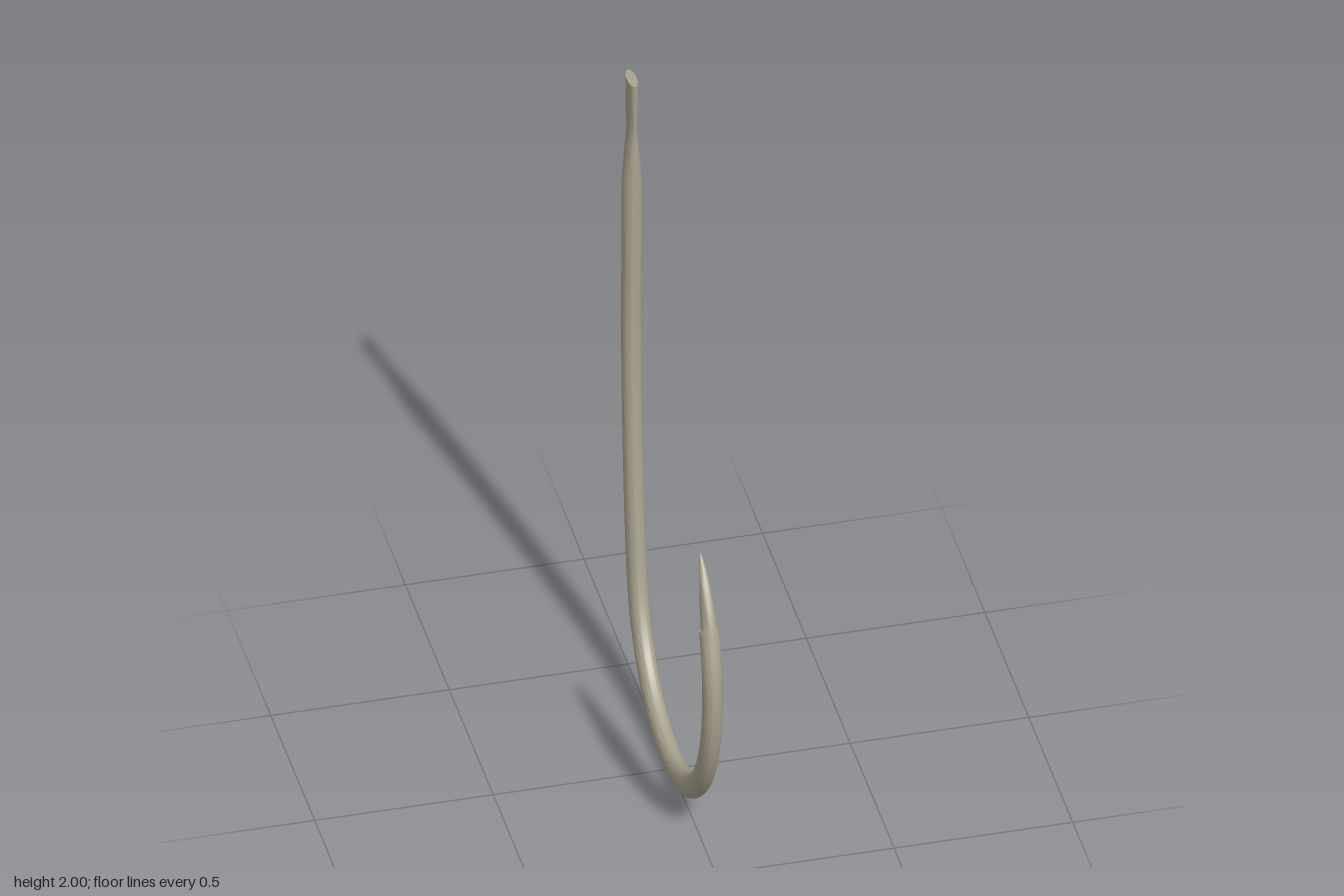
import * as THREE from 'three';
import { toCreasedNormals } from 'three/addons/utils/BufferGeometryUtils.js';

const SIDES = 28;
const STEPS = 6; // rings between neighbouring path points

// Wire path from the flattened end to the barb: [z, y, half depth, half width]
const PATH = [
  [-0.457, 2.0, 0.042, 0.014], [-0.457, 1.91, 0.042, 0.014], [-0.455, 1.83, 0.034, 0.014],
  [-0.453, 1.66, 0.033, 0.028], [-0.456, 1.4, 0.033, 0.028], [-0.46, 1.2, 0.032, 0.028],
  [-0.455, 1.0, 0.032, 0.028], [-0.44, 0.76, 0.033, 0.028], [-0.42, 0.55, 0.035, 0.028],
  [-0.397, 0.39, 0.037, 0.028], [-0.362, 0.27, 0.038, 0.028], [-0.3, 0.17, 0.038, 0.028],
  [-0.22, 0.1, 0.038, 0.028], [-0.12, 0.055, 0.038, 0.028], [0, 0.039, 0.038, 0.028],
  [0.12, 0.057, 0.038, 0.028], [0.233, 0.111, 0.037, 0.028], [0.329, 0.195, 0.035, 0.028],
  [0.403, 0.305, 0.034, 0.028], [0.449, 0.433, 0.033, 0.028], [0.466, 0.57, 0.033, 0.028],
  [0.457, 0.67, 0.032, 0.028], [0.43, 0.767, 0.032, 0.028],
];

// Barbed point: [outer z, outer y, inner z, inner y, half width, inner pinch]
const POINT = [
  [0.453, 0.8, 0.375, 0.737, 0.027, 0.5],
  [0.427, 0.848, 0.359, 0.81, 0.024, 0.5],
  [0.393, 0.895, 0.345, 0.875, 0.018, 0.5],
  [0.36, 0.932, 0.335, 0.922, 0.011, 0.5],
  [0.328, 0.957, 0.328, 0.956, 0.001, 0],
];

// Sections of the round wire, in the same form as POINT
function wireSections() {
  const curve = new THREE.CatmullRomCurve3(PATH.map(([z, y]) => new THREE.Vector3(0, y, z)));
  const spans = PATH.length - 1;
  const sections = [];
  for (let i = 0; i <= spans * STEPS; i++) {
    const t = i / (spans * STEPS);
    const k = Math.min(Math.floor(i / STEPS), spans - 1);
    const f = i / STEPS - k;
    const depth = THREE.MathUtils.lerp(PATH[k][2], PATH[k + 1][2], f);
    const width = THREE.MathUtils.lerp(PATH[k][3], PATH[k + 1][3], f);
    const c = curve.getPoint(t);
    const d = curve.getTangent(t);
    const nz = d.y * depth, ny = -d.z * depth;
    sections.push([c.z + nz, c.y + ny, c.z - nz, c.y - ny, width, 0]);
  }
  return sections;
}

// Skin a list of sections and close both ends
function skin(sections) {
  const pos = [], index = [];
  for (const [oz, oy, iz, iy, width, pinch] of sections) {
    for (let j = 0; j < SIDES; j++) {
      const a = (j / SIDES) * Math.PI * 2;
      const s = (1 - Math.cos(a)) / 2; // 0 outer edge, 1 inner edge
      pos.push(Math.sin(a) * width * (1 - pinch * s), oy + (iy - oy) * s, oz + (iz - oz) * s);
    }
  }
  const last = sections.length - 1;
  for (let i = 0; i < last; i++) {
    for (let j = 0; j < SIDES; j++) {
      const a = i * SIDES + j, b = i * SIDES + (j + 1) % SIDES;
      index.push(a, b, a + SIDES, b, b + SIDES, a + SIDES);
    }
  }
  for (let j = 1; j < SIDES - 1; j++) {
    index.push(0, j + 1, j);
    index.push(last * SIDES, last * SIDES + j, last * SIDES + j + 1);
  }
  const geo = new THREE.BufferGeometry();
  geo.setAttribute('position', new THREE.Float32BufferAttribute(pos, 3));
  geo.setIndex(index);
  return toCreasedNormals(geo, 0.65);
}

export function createModel() {
  const group = new THREE.Group();
  group.name = 'fishHook';
  const metal = new THREE.MeshStandardMaterial({ color: 0xaaa390, side: THREE.DoubleSide });

  // Shank and bend
  const wire = wireSections();
  const body = new THREE.Mesh(skin(wire), metal);
  body.name = 'shankAndBend';

  // Point with its barb, starting from the last wire section
  const tip = new THREE.Mesh(skin([wire[wire.length - 1], ...POINT]), metal);
  tip.name = 'barbedPoint';

  group.add(body, tip);
  return group;
}
